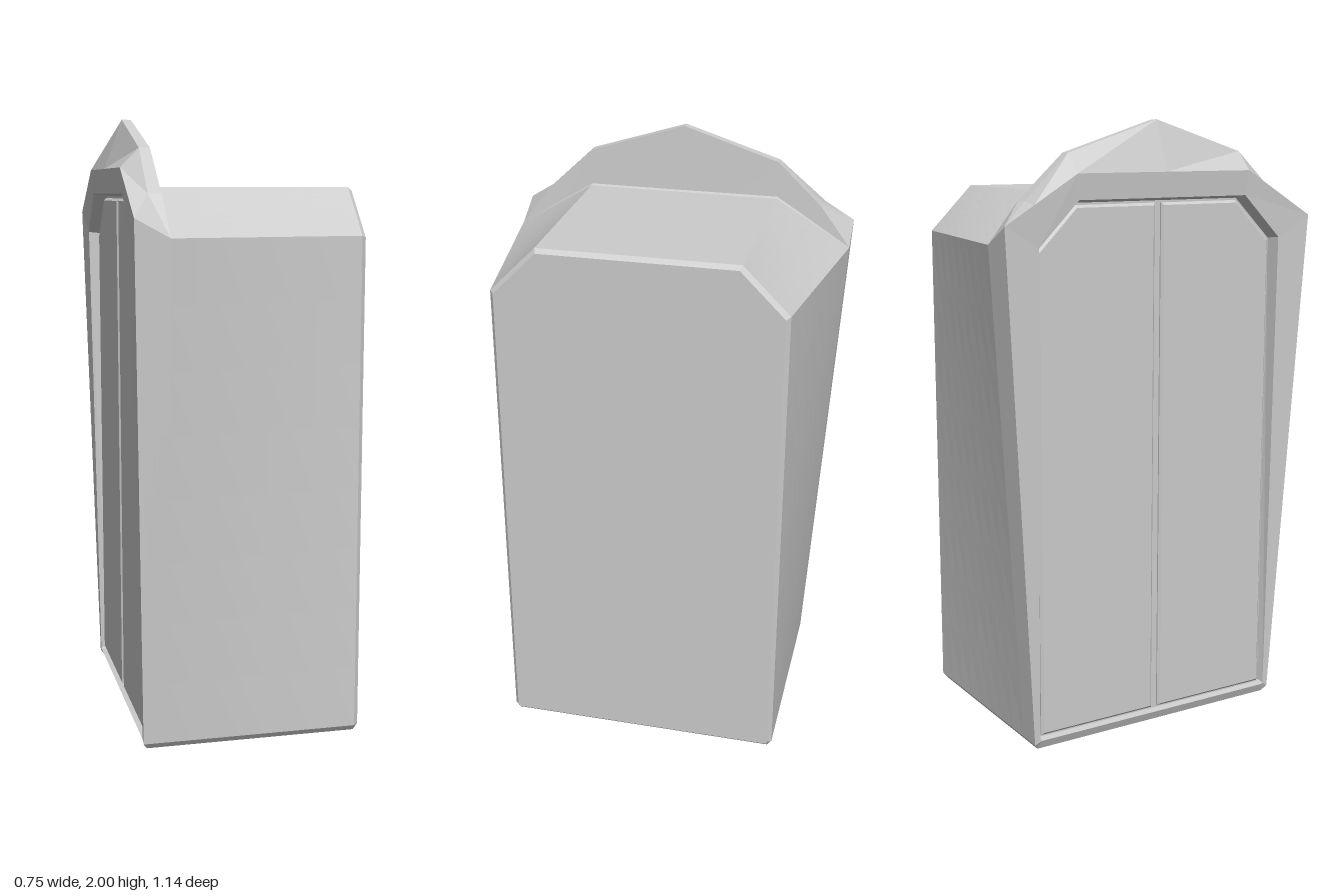
import * as THREE from 'three';

const material = new THREE.MeshStandardMaterial({ color: 0xcccccc, flatShading: true });

// Bilinear patch a-b-c-d, counter-clockwise from outside; split so twisted walls stay even
function addQuad(out, a, b, c, d, n = 1) {
  const [A, B, C, D] = [a, b, c, d].map((p) => new THREE.Vector3(...p));
  const at = (u, v) => A.clone().lerp(B, u).lerp(D.clone().lerp(C, u), v);
  const tri = (p, q, r) => {
    const area = q.clone().sub(p).cross(r.clone().sub(p)).length();
    if (area > 1e-8) out.push(...p.toArray(), ...q.toArray(), ...r.toArray());
  };
  for (let i = 0; i < n; i++) {
    for (let j = 0; j < n; j++) {
      const p = at(i / n, j / n), q = at((i + 1) / n, j / n);
      const r = at((i + 1) / n, (j + 1) / n), s = at(i / n, (j + 1) / n);
      tri(p, q, r);
      tri(p, r, s);
    }
  }
}

function makeMesh(name, positions) {
  const geometry = new THREE.BufferGeometry();
  geometry.setAttribute('position', new THREE.Float32BufferAttribute(positions, 3));
  geometry.computeVertexNormals();
  const mesh = new THREE.Mesh(geometry, material);
  mesh.name = name;
  return mesh;
}

const flip = ([x, y, z]) => [x, y, -z];

// Cabinet: outlines from the flat +x panel to the recess behind the doors
function cabinet() {
  const halves = [
    [[0.375, 0.015, 0.45], [0.375, 0.025, 0.457], [0.375, 1.624, 0.457], [0.375, 1.767, 0.314]],
    [[0.36, 0, 0.455], [0.36, 0.02, 0.47], [0.36, 1.63, 0.47], [0.36, 1.78, 0.32]],
    [[-0.27, 0, 0.455], [-0.27, 0.02, 0.47], [-0.27, 1.63, 0.57], [-0.27, 1.78, 0.32]],
    [[-0.335, 0, 0.455], [-0.348, 0.02, 0.47], [-0.38, 1.69, 0.57], [-0.38, 1.84, 0.32]],
    [[-0.348, 0.03, 0.445], [-0.348, 0.035, 0.452], [-0.372, 1.62, 0.452], [-0.372, 1.76, 0.312]],
    [[-0.325, 0.035, 0.438], [-0.325, 0.042, 0.444], [-0.325, 1.615, 0.444], [-0.325, 1.75, 0.308]],
  ];
  const loops = halves.map((h) => [...h, ...h.map(flip).reverse()]);
  const out = [];
  for (let k = 0; k < loops.length - 1; k++) {
    const a = loops[k], b = loops[k + 1];
    for (let i = 0; i < 8; i++) {
      const j = (i + 1) % 8;
      addQuad(out, a[i], a[j], b[j], b[i], k === 1 || k === 2 ? 8 : 1);
    }
  }
  // End caps
  const first = loops[0], last = loops[loops.length - 1];
  for (let i = 0; i < 3; i++) {
    addQuad(out, first[7 - i], first[6 - i], first[i + 1], first[i]);
    addQuad(out, last[i], last[i + 1], last[6 - i], last[7 - i]);
  }
  return makeMesh('cabinet', out);
}

// Peaked crest with a sloping lip over the doors
function crest() {
  const halves = [
    [[-0.27, 1.63, 0.57], [-0.27, 1.63, 0.47], [-0.27, 1.63, 0.32], [-0.27, 1.63, 0]],
    [[-0.27, 1.63, 0.57], [-0.278, 1.76, 0.47], [-0.285, 1.9, 0.32], [-0.29, 2, 0]],
    [[-0.38, 1.69, 0.57], [-0.32, 1.76, 0.47], [-0.32, 1.9, 0.32], [-0.32, 2, 0]],
    [[-0.38, 1.69, 0.57], [-0.38, 1.75, 0.47], [-0.38, 1.84, 0.32], [-0.38, 1.84, 0]],
  ];
  const rows = halves.map((h) => [...h, ...h.slice(0, 3).map(flip).reverse()]);
  const out = [];
  for (let k = 0; k < rows.length - 1; k++) {
    for (let i = 0; i < 6; i++) {
      addQuad(out, rows[k][i], rows[k][i + 1], rows[k + 1][i + 1], rows[k + 1][i]);
    }
  }
  return makeMesh('crest', out);
}

// One door leaf with a clipped upper corner, facing -x
function door(side) {
  const outline = [[0.02, 0.05], [0.43, 0.05], [0.43, 1.605], [0.3, 1.735], [0.02, 1.735]];
  const shape = new THREE.Shape(outline.map(([z, y]) => new THREE.Vector2(z * side, y)));
  const geometry = new THREE.ExtrudeGeometry(shape, {
    depth: 0.006, bevelThickness: 0.008, bevelSize: 0.008, bevelSegments: 1,
  });
  const mesh = new THREE.Mesh(geometry, material);
  mesh.rotation.y = -Math.PI / 2;
  mesh.position.x = -0.324;
  mesh.name = side > 0 ? 'frontDoor' : 'backDoor';
  return mesh;
}

export function createModel() {
  const model = new THREE.Group();
  model.name = 'cabinetWithCrest';
  model.add(cabinet(), crest(), door(1), door(-1));
  return model;
}
